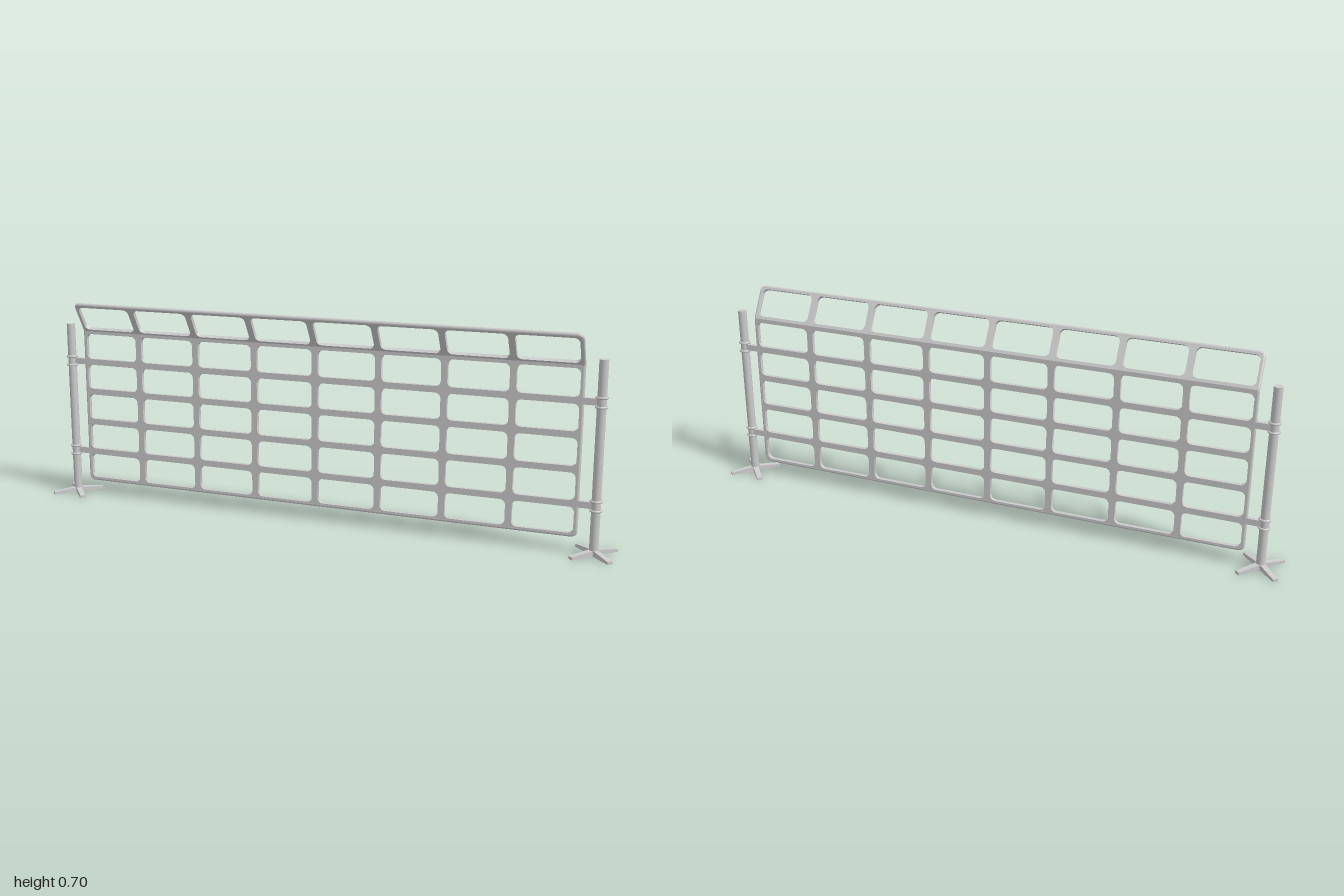
import * as THREE from 'three';
import { toCreasedNormals } from 'three/addons/utils/BufferGeometryUtils.js';

const mat = new THREE.MeshStandardMaterial({ color: 0xcccccc });
const V = (x, y, z) => new THREE.Vector3(x, y, z);

const HALF = 0.873;            // half width to the centre of the frame tube
const BOTTOM = 0.058;
const BEND = 0.6;              // height where the panel tilts forward
const TILT = Math.PI / 6;
const SLOPE = 0.111;           // length of the tilted strip
const PANEL_Z = -0.003;
const TUBE = 0.0073;
const THICK = 0.0136;
const BAR = 0.0105;            // half width of a lattice bar
const POST_X = 0.933;
const CLAMPS = [0.16, 0.4875];

function add(parent, name, geometry) {
  const mesh = new THREE.Mesh(geometry, mat);
  mesh.name = name;
  parent.add(mesh);
  return mesh;
}

function roundedHole(x0, x1, y0, y1, r) {
  const p = new THREE.Path();
  p.moveTo(x0 + r, y0);
  p.absarc(x1 - r, y0 + r, r, -Math.PI / 2, 0);
  p.absarc(x1 - r, y1 - r, r, 0, Math.PI / 2);
  p.absarc(x0 + r, y1 - r, r, Math.PI / 2, Math.PI);
  p.absarc(x0 + r, y0 + r, r, Math.PI, Math.PI * 1.5);
  p.closePath();
  return p;
}

// Plate with a grid of rounded openings; the edge at miterY is sheared to meet the bend
function lattice(y0, y1, rows, miterY, miterSlope) {
  const shape = new THREE.Shape([
    new THREE.Vector2(-HALF, y0), new THREE.Vector2(HALF, y0),
    new THREE.Vector2(HALF, y1), new THREE.Vector2(-HALF, y1)]);
  for (let c = 0; c < 8; c++) {
    const x0 = c === 0 ? -HALF + 0.006 : (c - 4) * 0.22 + BAR;
    const x1 = c === 7 ? HALF - 0.006 : (c - 3) * 0.22 - BAR;
    for (const [a, b] of rows) shape.holes.push(roundedHole(x0, x1, a, b, 0.018));
  }
  const geo = new THREE.ExtrudeGeometry(shape, { depth: THICK, bevelEnabled: false, curveSegments: 5 });
  geo.translate(0, 0, -THICK / 2);
  const pos = geo.attributes.position;
  for (let i = 0; i < pos.count; i++) {
    if (Math.abs(pos.getY(i) - miterY) < 1e-4) pos.setY(i, miterY + miterSlope * pos.getZ(i));
  }
  return toCreasedNormals(geo, 0.6);
}

// Closed tube through corner points, each corner rounded
function frameTube(parent, points, radii) {
  const n = points.length;
  const corners = points.map((p, i) => {
    const toward = q => p.clone().add(q.clone().sub(p).setLength(radii[i]));
    return new THREE.QuadraticBezierCurve3(
      toward(points[(i + n - 1) % n]), p, toward(points[(i + 1) % n]));
  });
  corners.forEach((c, i) => {
    add(parent, 'frameCorner', new THREE.TubeGeometry(c, 8, TUBE, 12));
    const line = new THREE.LineCurve3(c.v2, corners[(i + 1) % n].v0);
    add(parent, 'frameRail', new THREE.TubeGeometry(line, 1, TUBE, 12));
  });
}

function createPanel() {
  const panel = new THREE.Group();
  panel.name = 'panel';
  panel.position.z = PANEL_Z;

  // Upright lattice
  const bars = [0.16, 0.27, 0.38, 0.4875, BEND - 0.002];
  const rows = bars.map((y, i) => [i ? bars[i - 1] + BAR : BOTTOM + 0.006, y - BAR]);
  const miter = Math.tan(TILT / 2);
  add(panel, 'lattice', lattice(BOTTOM, BEND, rows, BEND, -miter));

  // Tilted top strip
  const strip = add(panel, 'tiltedStrip',
    lattice(0, SLOPE, [[BAR - 0.002, SLOPE - 0.006]], 0, miter));
  strip.position.y = BEND;
  strip.rotation.x = TILT;

  // Surrounding tube
  const topY = BEND + SLOPE * Math.cos(TILT), topZ = SLOPE * Math.sin(TILT);
  const frame = new THREE.Group();
  frame.name = 'frame';
  frameTube(frame, [
    V(-HALF, BOTTOM, 0), V(HALF, BOTTOM, 0), V(HALF, BEND, 0),
    V(HALF, topY, topZ), V(-HALF, topY, topZ), V(-HALF, BEND, 0),
  ], [0.016, 0.016, 0.008, 0.014, 0.014, 0.008]);
  panel.add(frame);
  return panel;
}

function createPost(side) {
  const post = new THREE.Group();
  post.name = side > 0 ? 'leftPost' : 'rightPost';
  post.position.x = side * POST_X;

  add(post, 'pole', new THREE.CylinderGeometry(0.0145, 0.0145, 0.612, 24)).position.y = 0.314;

  // Clamp rings and the tabs joining pole and panel
  for (const y of CLAMPS) {
    for (const dy of [-0.015, 0.015]) {
      const ring = add(post, 'clampRing', new THREE.TorusGeometry(0.0163, 0.004, 8, 24));
      ring.rotation.x = Math.PI / 2;
      ring.position.y = y + dy;
    }
    const tab = add(post, 'clampTab', new THREE.BoxGeometry(0.06, 2 * BAR, THICK));
    tab.position.set(-side * 0.03, y, PANEL_Z);
  }

  // Crossed foot beams, thinner toward the tips
  const L = 0.09;
  const profile = new THREE.Shape([[-L, 0], [L, 0], [L, 0.009], [0.012, 0.018], [-0.012, 0.018], [-L, 0.009]]
    .map(([x, y]) => new THREE.Vector2(x, y)));
  for (const s of [-1, 1]) {
    const geo = new THREE.ExtrudeGeometry(profile, { depth: 0.018, bevelEnabled: false });
    geo.translate(0, 0, -0.009);
    add(post, 'footBeam', geo).rotation.y = s * 0.838;
  }
  return post;
}

export function createModel() {
  const model = new THREE.Group();
  model.name = 'fence';
  model.add(createPanel(), createPost(1), createPost(-1));
  return model;
}
